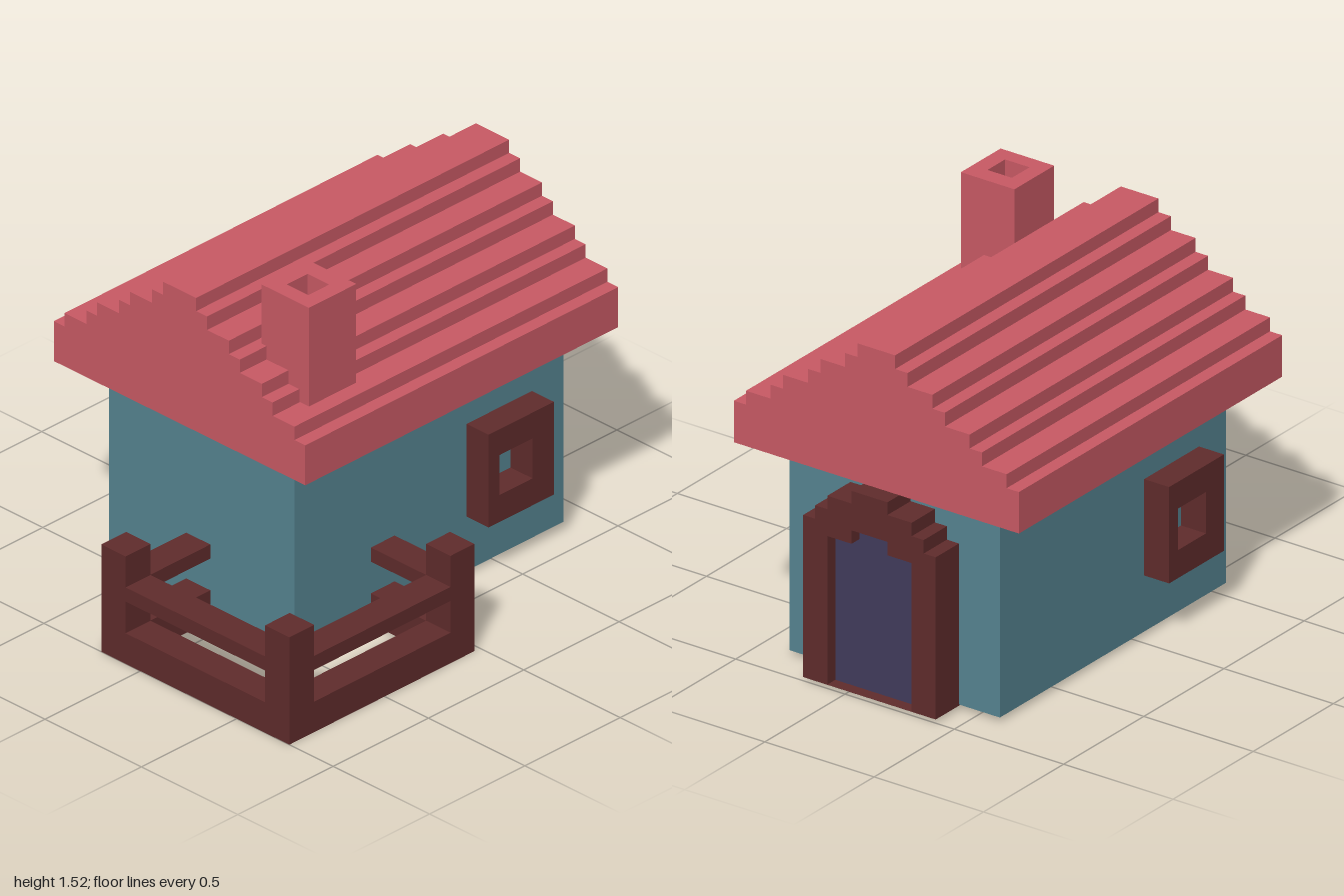
import * as THREE from 'three';

const material = (name, color) => {
  const m = new THREE.MeshStandardMaterial({ color });
  m.name = name;
  return m;
};

export function createModel() {
  const house = new THREE.Group();
  house.name = 'cottage';
  const red = material('roof red', 0xc95a65);
  const teal = material('wall teal', 0x568491);
  const brown = material('timber brown', 0x602c2c);
  const navy = material('door navy', 0x423b5c);

  const add = (name, geometry, mat, parent = house) => {
    const mesh = new THREE.Mesh(geometry, mat);
    mesh.name = name;
    parent.add(mesh);
    return mesh;
  };
  // Box given by its limits on each axis
  const box = (name, mat, [x0, x1], [y0, y1], [z0, z1], parent) => {
    const mesh = add(name, new THREE.BoxGeometry(x1 - x0, y1 - y0, z1 - z0), mat, parent);
    mesh.position.set((x0 + x1) / 2, (y0 + y1) / 2, (z0 + z1) / 2);
    return mesh;
  };
  const extrude = (shape, depth) =>
    new THREE.ExtrudeGeometry(shape, { depth, bevelEnabled: false });
  const rect = (Type, x0, x1, y0, y1) => new Type([
    [x0, y0], [x1, y0], [x1, y1], [x0, y1]].map(p => new THREE.Vector2(...p)));

  // Symmetric stepped outline: tiers of [half width, top height] from bottom to top
  const stepped = (Type, base, tiers) => {
    const side = [];
    let y = base;
    for (const [w, top] of tiers) {
      side.push([w, y], [w, top]);
      y = top;
    }
    const mirror = side.map(([w, h]) => [-w, h]).reverse();
    return new Type([...side, ...mirror].map(p => new THREE.Vector2(...p)));
  };
  // Gable-wise extrusion along x, from x0 to x1
  const alongX = (name, shape, mat, x0, x1, z) => {
    const mesh = add(name, extrude(shape, x1 - x0), mat);
    mesh.rotation.y = Math.PI / 2;
    mesh.position.set(x0, 0, z);
    return mesh;
  };

  box('walls', teal, [-0.555, 0.855], [0.02, 0.88], [-0.602, 0.36]);

  // Stepped roof
  const roofTiers = [
    [0.652, 1.04], [0.596, 1.097], [0.483, 1.154], [0.427, 1.211],
    [0.313, 1.268], [0.256, 1.325], [0.143, 1.382], [0.086, 1.438]];
  alongX('roof', stepped(THREE.Shape, 0.87, roofTiers), red, -0.67, 0.972, -0.123);

  // Hollow chimney
  const flue = rect(THREE.Shape, -0.53, -0.282, -0.41, -0.165);
  flue.holes.push(rect(THREE.Path, -0.465, -0.355, -0.342, -0.23));
  const chimney = add('chimney', extrude(flue, 0.42), red);
  chimney.rotation.x = -Math.PI / 2;
  chimney.position.y = 1.1;

  // Arched doorway with a recessed door
  const arch = stepped(THREE.Shape, 0.015,
    [[0.303, 0.68], [0.248, 0.735], [0.193, 0.79], [0.082, 0.842]]);
  const innerTiers = [[0.193, 0.625], [0.082, 0.68]];
  arch.holes.push(stepped(THREE.Path, 0.016, innerTiers));
  alongX('doorFrame', arch, brown, 0.835, 1, -0.112);
  alongX('door', stepped(THREE.Shape, 0.015, innerTiers), navy, 0.84, 0.95, -0.112);

  // Window frames, the rear one turned half round
  const frame = rect(THREE.Shape, 0, 0.342, 0.25, 0.645);
  frame.holes.push(rect(THREE.Path, 0.056, 0.23, 0.365, 0.535));
  const windowGeometry = extrude(frame, 0.114);
  add('frontWindow', windowGeometry, brown).position.set(0.348, 0, 0.36);
  const rear = add('rearWindow', windowGeometry, brown);
  rear.rotation.y = Math.PI;
  rear.position.set(-0.045, 0, -0.602);

  // Fenced yard: a sill running under the house, a rail above it and corner posts
  const fence = new THREE.Group();
  fence.name = 'fence';
  house.add(fence);
  const ring = rect(THREE.Shape, -1, -0.03, -0.773, 0.202);
  ring.holes.push(rect(THREE.Path, -0.87, -0.155, -0.647, 0.077));
  for (const [name, y, height] of [['fenceSill', 0, 0.13], ['fenceRail', 0.265, 0.06]]) {
    const mesh = add(name, extrude(ring, height), brown, fence);
    mesh.rotation.x = -Math.PI / 2;
    mesh.position.y = y;
  }
  for (const [x, z] of [[-1, 0.647], [-0.155, 0.647], [-1, -0.202]])
    box('fencePost', brown, [x, x + 0.13 - (x > -1 ? 0.005 : 0)], [0, 0.457], [z, z + 0.126], fence);

  return house;
}
